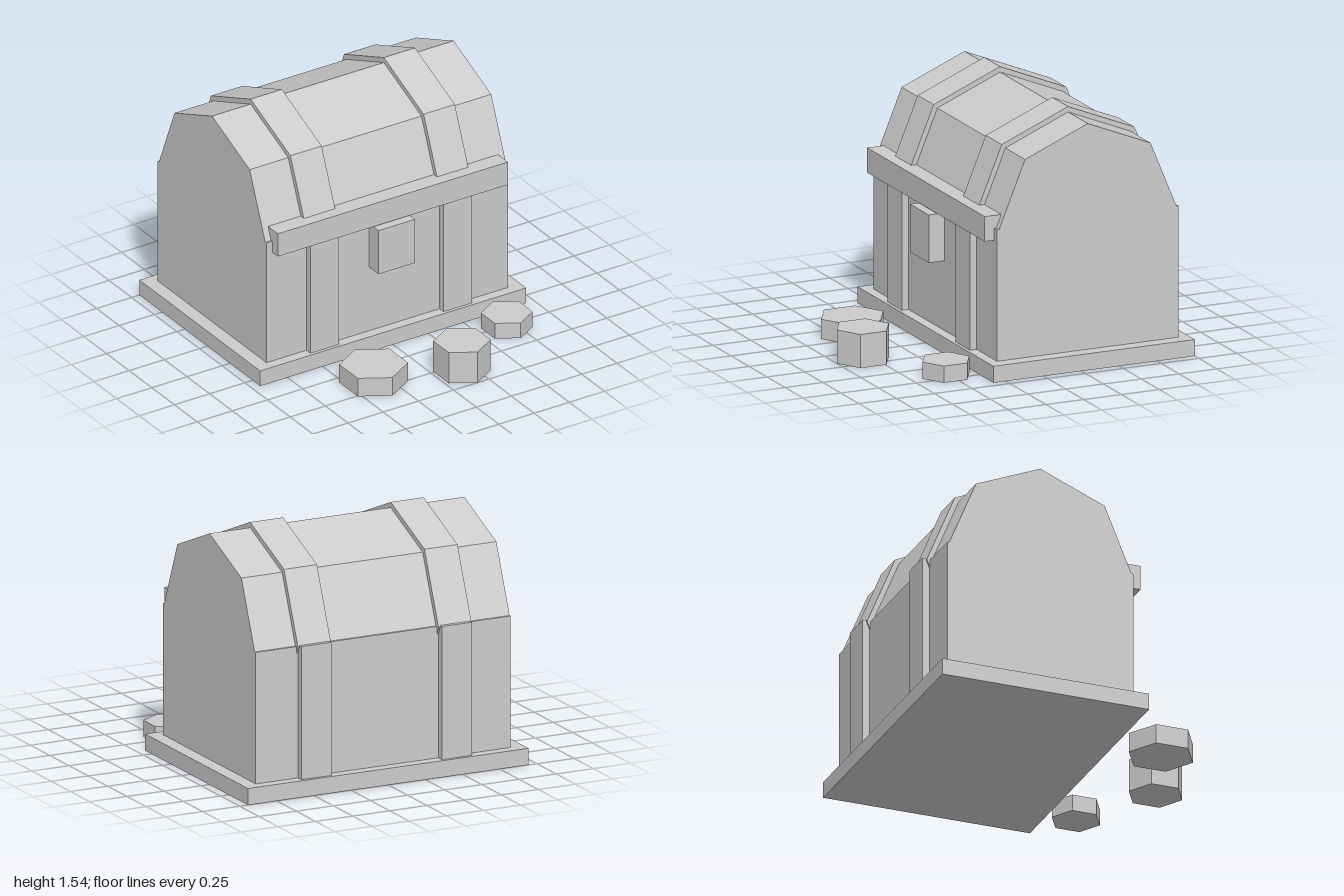
import * as THREE from 'three';

export function createModel() {
  const chest = new THREE.Group();
  chest.name = 'chest';
  const material = new THREE.MeshStandardMaterial({ color: 0xcccccc, flatShading: true });

  const add = (name, geometry, x, y, z) => {
    const mesh = new THREE.Mesh(geometry, material);
    mesh.name = name;
    mesh.position.set(x, y, z);
    chest.add(mesh);
  };

  // box given by its extents on each axis
  const box = (name, [x0, x1], [y0, y1], [z0, z1]) =>
    add(name, new THREE.BoxGeometry(x1 - x0, y1 - y0, z1 - z0),
      (x0 + x1) / 2, (y0 + y1) / 2, (z0 + z1) / 2);

  // eight-sided barrel lying along x
  const midZ = -0.333, rimY = 0.92;
  const barrel = (name, radius, width, x) =>
    add(name, new THREE.CylinderGeometry(radius, radius, width, 8).rotateZ(Math.PI / 2), x, rimY, midZ);

  // plinth, body and faceted lid
  box('plinth', [-0.945, 0.945], [0, 0.103], [-1, 0.333]);
  box('body', [-0.858, 0.858], [0.103, rimY], [-0.933, 0.268]);
  barrel('lid', 0.587, 1.716, 0);

  // straps over the lid and down the front and back
  for (const [side, x] of [['left', 0.473], ['right', -0.473]]) {
    barrel(side + 'LidBand', 0.621, 0.222, x);
    box(side + 'FrontStrap', [x - 0.101, x + 0.101], [0.103, 0.93], [0.25, 0.312]);
    box(side + 'BackStrap', [x - 0.101, x + 0.101], [0.103, 0.93], [-0.978, -0.915]);
  }

  // front lip and lock
  box('lidLip', [-0.817, 0.817], [0.845, 1.0], [0.216, 0.33]);
  box('lock', [-0.129, 0.129], [0.537, 0.835], [0.25, 0.372]);

  // hexagonal stones on the ground: x, z, radius, height
  const stones = [[-0.345, 0.653, 0.206, 0.123], [0.17, 0.828, 0.172, 0.209], [0.684, 0.523, 0.155, 0.104]];
  stones.forEach(([x, z, r, h], i) =>
    add('stone' + (i + 1), new THREE.CylinderGeometry(r, r, h, 6), x, h / 2, z));

  return chest;
}
